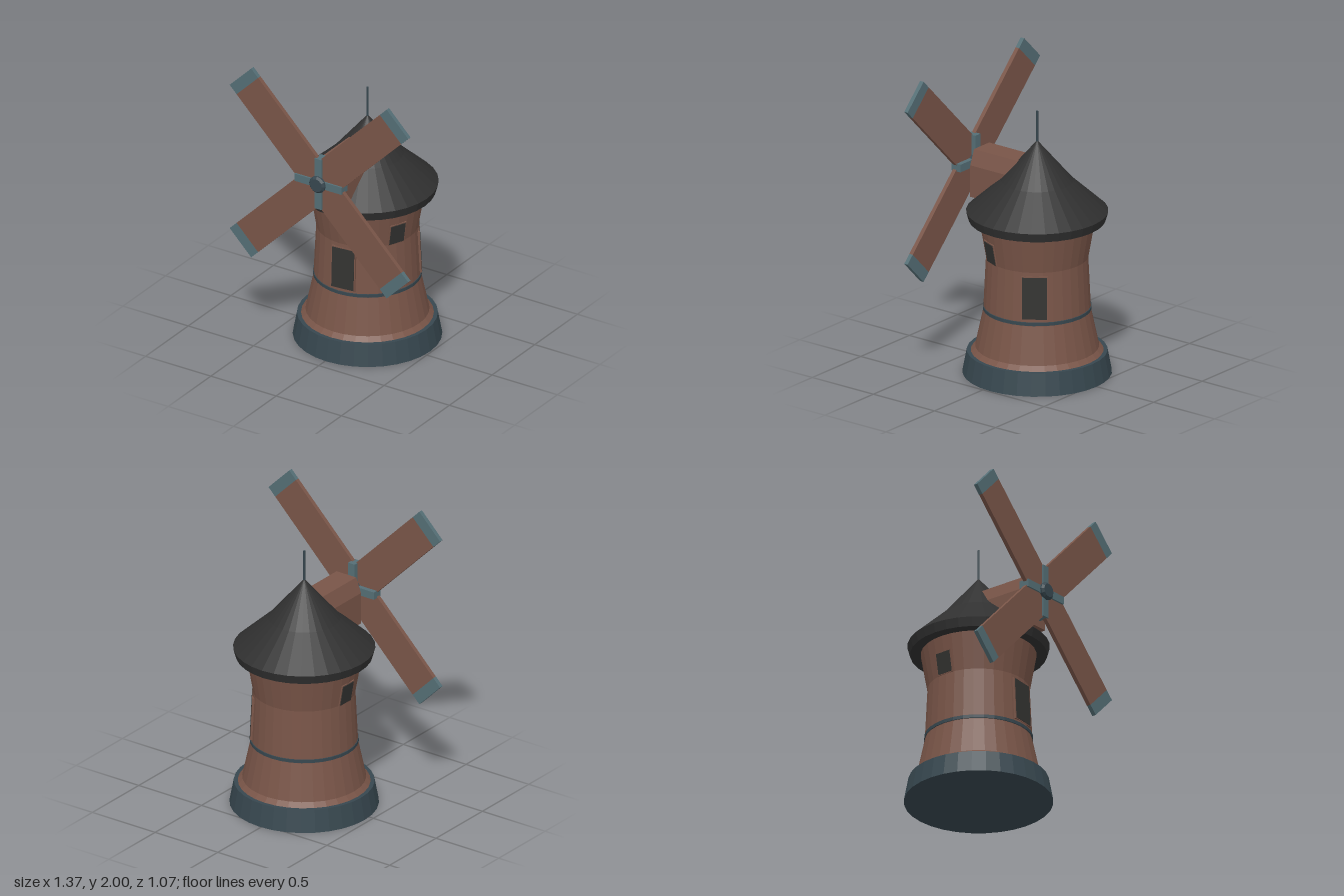
import * as THREE from 'three';

const mat = (name, color) => {
  const m = new THREE.MeshStandardMaterial({ color });
  m.name = name;
  return m;
};

export function createModel() {
  const brown = mat('brown wood', 0x795548);
  const slate = mat('dark slate', 0x37474f);
  const teal = mat('blue grey', 0x546e75);
  const black = mat('roof black', 0x303030);
  const dark = mat('dark opening', 0x333331);

  const model = new THREE.Group();
  const add = (parent, name, geometry, material, x = 0, y = 0, z = 0) => {
    const mesh = new THREE.Mesh(geometry, material);
    mesh.name = name;
    mesh.position.set(x, y, z);
    parent.add(mesh);
    return mesh;
  };
  // Faceted normals
  const facet = (g) => {
    const f = g.index ? g.toNonIndexed() : g;
    f.computeVertexNormals();
    return f;
  };
  const lathe = (pts, seg = 32) =>
    facet(new THREE.LatheGeometry(pts.map(([r, y]) => new THREE.Vector2(r, y)), seg));

  // Round tower, slightly off centre so that the sails fit in front
  const mill = new THREE.Group();
  mill.name = 'mill';
  mill.position.set(0.01, 0, -0.055);
  model.add(mill);

  add(mill, 'base', lathe([[0, 0], [0.48, 0], [0.452, 0.15], [0, 0.15]]), slate);
  add(mill, 'tower', lathe([[0.428, 0.148], [0.398, 0.18], [0.345, 0.43], [0.345, 0.46],
    [0.329, 0.79], [0.374, 1.05]]), brown);
  add(mill, 'band', lathe([[0.335, 0.432], [0.35, 0.434], [0.35, 0.456], [0.335, 0.458]]), slate);
  add(mill, 'roof', lathe([[0, 1.04], [0.44, 1.04], [0.457, 1.1], [0.232, 1.305], [0, 1.578]]), black);
  add(mill, 'spire', new THREE.CylinderGeometry(0.007, 0.007, 0.24, 8), slate, 0, 1.657, 0);

  // Doors and windows: a thin dark plate in a slim wooden frame
  const opening = (name, azimuth, y, w, h, r, tilt) => {
    const turn = new THREE.Group();
    turn.name = name;
    turn.rotation.y = THREE.MathUtils.degToRad(azimuth);
    mill.add(turn);
    const lean = new THREE.Group();
    lean.position.set(0, y, r);
    lean.rotation.x = tilt;
    turn.add(lean);
    add(lean, name + 'Frame', new THREE.BoxGeometry(w + 0.014, h + 0.014, 0.024), brown, 0, 0, -0.012);
    add(lean, name + 'Panel', new THREE.BoxGeometry(w, h, 0.006), dark, 0, 0, 0);
  };
  opening('frontDoor', 5.5, 0.618, 0.16, 0.28, 0.339, -0.045);
  opening('sideDoor', 125.5, 0.618, 0.16, 0.28, 0.339, -0.045);
  opening('leftWindow', 67, 0.863, 0.11, 0.14, 0.344, 0.175);
  opening('rightWindow', 269, 0.863, 0.11, 0.14, 0.344, 0.175);

  // Shaft housing with bevelled top corners
  const house = new THREE.Shape([[-0.117, 1.12], [0.117, 1.12], [0.117, 1.335], [0.078, 1.435],
    [-0.078, 1.435], [-0.117, 1.335]].map(([x, y]) => new THREE.Vector2(x, y)));
  add(model, 'shaftHousing', new THREE.ExtrudeGeometry(house, { depth: 0.42, bevelEnabled: false }),
    brown, 0.01, 0, -0.02);

  // Sail wheel
  const wheel = new THREE.Group();
  wheel.name = 'sailWheel';
  wheel.position.set(0, 1.318, 0.485);
  model.add(wheel);

  const hub = add(wheel, 'hub', lathe([[0.06, -0.1], [0.052, -0.03], [0.052, 0.024],
    [0.06, 0.026], [0.06, 0.036], [0.046, 0.05], [0, 0.05]], 12), slate);
  hub.rotation.x = Math.PI / 2;
  add(wheel, 'crossBar', new THREE.BoxGeometry(0.36, 0.052, 0.072), teal, 0, 0, -0.01);
  add(wheel, 'crossPost', new THREE.BoxGeometry(0.052, 0.36, 0.072), teal, 0, 0, -0.01);

  // Four sails, each pointed where it meets the cross
  const W = 0.1165;
  const blade = new THREE.Shape([[0, 0.02], [W, 0.02 + W], [W, 0.775], [-W, 0.775], [-W, 0.02 + W]]
    .map(([x, y]) => new THREE.Vector2(x, y)));
  const bladeGeo = new THREE.ExtrudeGeometry(blade, { depth: 0.028, bevelEnabled: false });
  const tipGeo = new THREE.BoxGeometry(2 * W, 0.075, 0.028);
  for (let i = 0; i < 4; i++) {
    const sail = new THREE.Group();
    sail.name = 'sail' + (i + 1);
    sail.rotation.z = Math.PI / 4 + (i * Math.PI) / 2;
    wheel.add(sail);
    add(sail, 'sailBlade', bladeGeo, brown, 0, 0, -0.014);
    add(sail, 'sailTip', tipGeo, teal, 0, 0.8125, 0);
  }
  return model;
}
